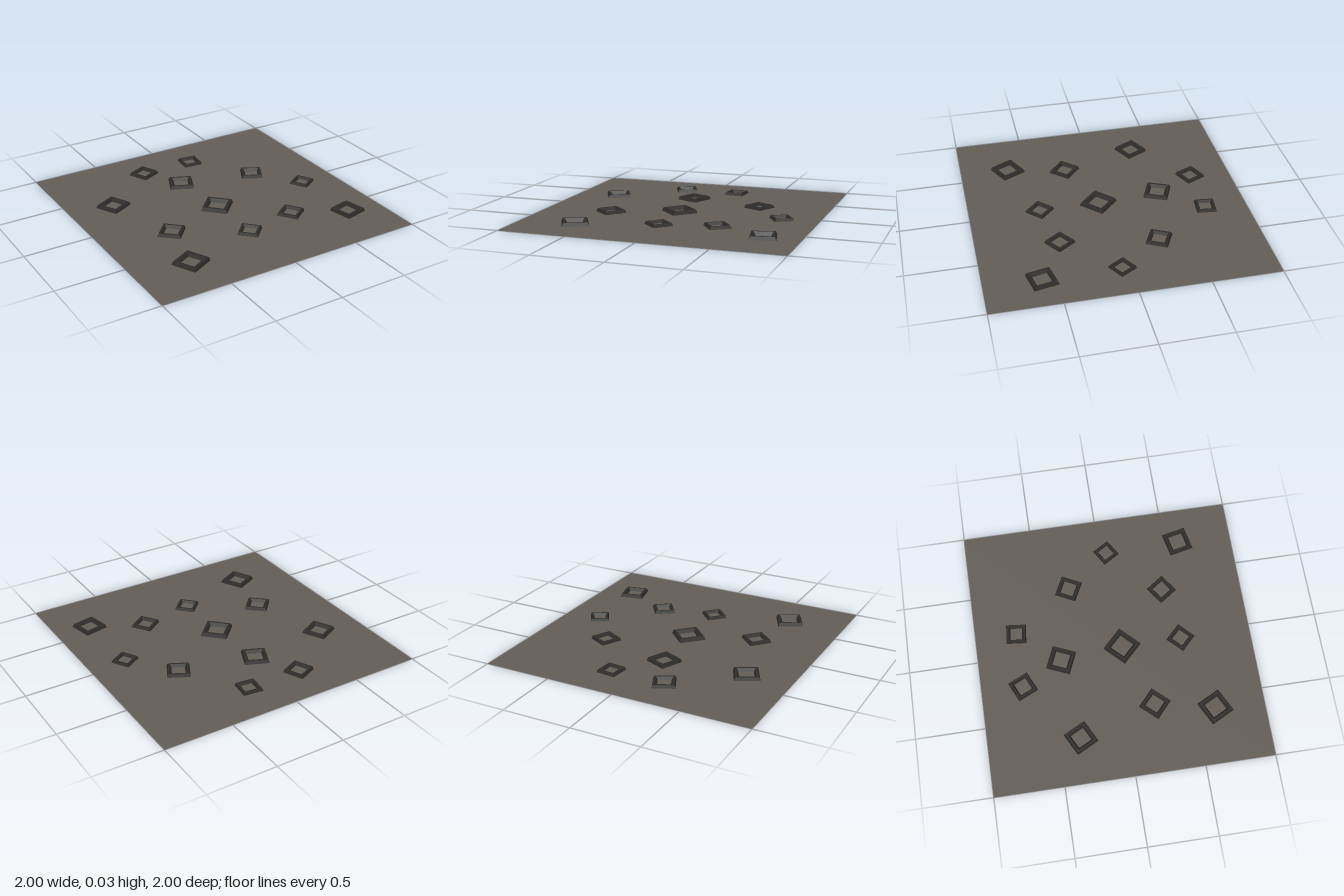
import * as THREE from 'three';

// x, z, half side, turn in degrees (counter-clockwise from above)
const FRAMES = [
  [-0.23, -0.70, 0.079, 24.5],
  [0.18, -0.70, 0.073, -6],
  [-0.67, -0.34, 0.089, 27],
  [-0.07, -0.40, 0.089, -23.5],
  [0.48, -0.27, 0.080, -27],
  [0.73, 0.05, 0.070, 31],
  [-0.03, 0.055, 0.098, 45],
  [-0.50, 0.22, 0.083, -42],
  [-0.03, 0.49, 0.075, 45],
  [0.37, 0.415, 0.078, 35],
  [-0.59, 0.645, 0.094, 27],
  [0.74, 0.60, 0.090, 12],
];

export function createModel() {
  const model = new THREE.Group();
  model.name = 'groundWithFrames';

  // Flat square ground sheet
  const ground = new THREE.Mesh(
    new THREE.PlaneGeometry(2, 2).rotateX(-Math.PI / 2),
    new THREE.MeshStandardMaterial({ color: 0x625d56, side: THREE.DoubleSide })
  );
  ground.name = 'ground';
  model.add(ground);

  // Square rim of half side 1: outer slope, flat top, inner slope
  const profile = [[1, 0], [0.9, 0.27], [0.73, 0.27], [0.59, 0]]
    .map(([r, y]) => new THREE.Vector2(r * Math.SQRT2, y));
  const rim = new THREE.LatheGeometry(profile, 4).rotateY(Math.PI / 4);
  const rimMaterial = new THREE.MeshStandardMaterial({ color: 0x2e2c2b, flatShading: true });

  // Scattered frames, each sized and turned on its own
  FRAMES.forEach(([x, z, half, turn], i) => {
    const frame = new THREE.Mesh(rim, rimMaterial);
    frame.name = `squareFrame${i + 1}`;
    frame.position.set(x, 0, z);
    frame.rotation.y = THREE.MathUtils.degToRad(turn);
    frame.scale.setScalar(half);
    model.add(frame);
  });

  return model;
}
